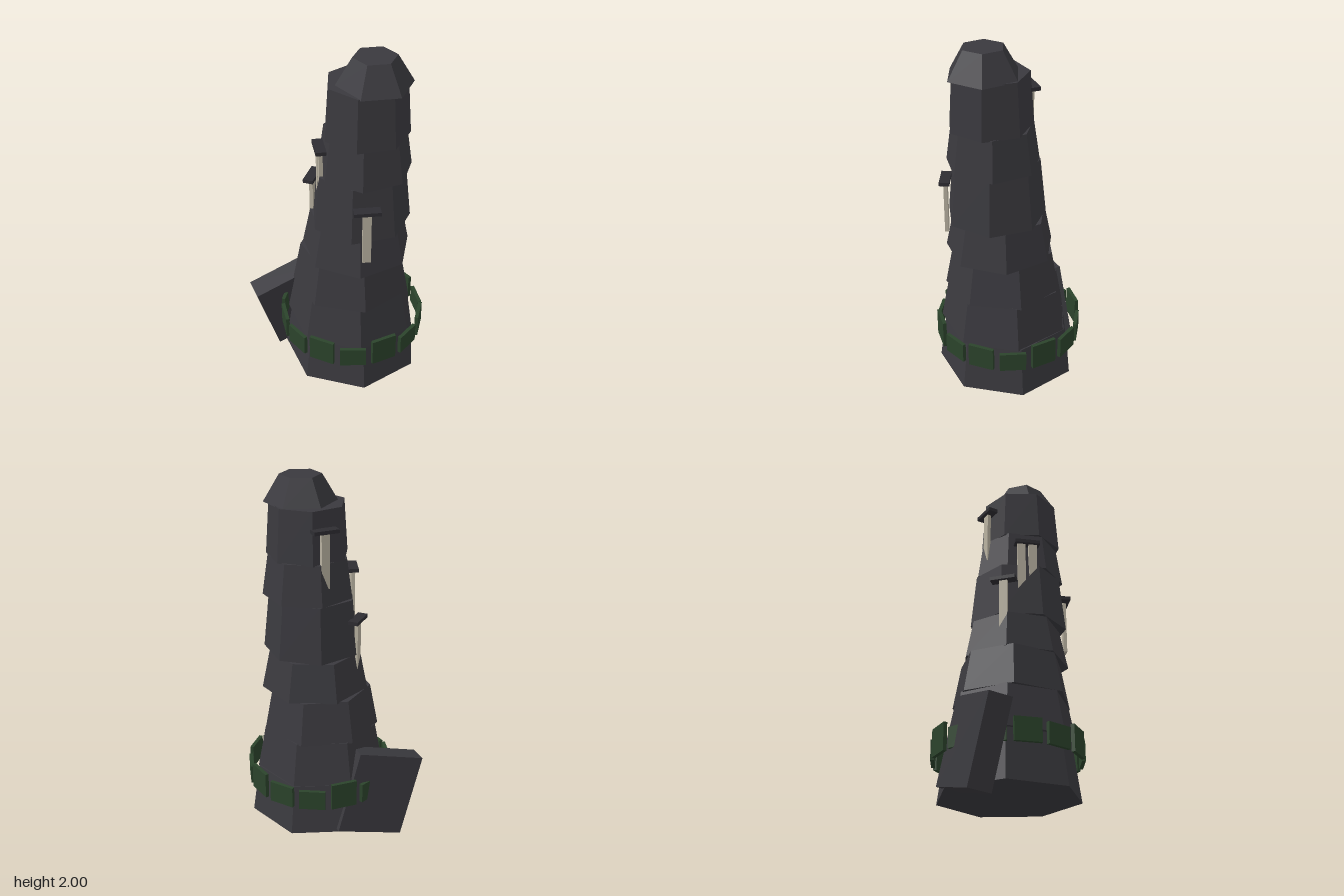
import * as THREE from 'three';

const rad = THREE.MathUtils.degToRad;

export function createModel() {
  const model = new THREE.Group();
  const paint = (name, color) => {
    const m = new THREE.MeshStandardMaterial({ color, flatShading: true });
    m.name = name;
    return m;
  };
  const stone = paint('dark stone', 0x3a393e);
  const eaveStone = paint('eave stone', 0x2e2d32);
  const moss = paint('moss green', 0x2b432b);
  const pale = paint('pale window', 0xb8b1a0);

  const add = (parent, name, geometry, material) => {
    const mesh = new THREE.Mesh(geometry, material);
    mesh.name = name;
    parent.add(mesh);
    return mesh;
  };

  // Leaning stack of tapered tiers: y0, y1, bottom radius, top radius, x, z, angle of one corner, sides
  const tiers = [
    [0.09, 0.37, 0.39, 0.35, 0.07, 0.0, 94, 7],
    [0.365, 0.61, 0.362, 0.315, 0.072, 0.015, 95, 7],
    [0.605, 0.84, 0.325, 0.28, 0.075, 0.02, 90, 7],
    [0.835, 1.05, 0.298, 0.254, 0.105, 0.015, 100, 7],
    [1.05, 1.36, 0.27, 0.238, 0.13, 0.022, 113, 7],
    [1.36, 1.58, 0.25, 0.218, 0.152, 0.015, 106, 7],
    [1.575, 1.86, 0.226, 0.206, 0.163, 0.022, 115.7, 7],
    [1.855, 2.0, 0.198, 0.112, 0.206, 0.015, 73, 6],
  ];
  const tower = new THREE.Group();
  tower.name = 'tower';
  model.add(tower);
  tiers.forEach(([y0, y1, r0, r1, x, z, corner, sides], i) => {
    const name = i === tiers.length - 1 ? 'cap' : 'tier' + (i + 1);
    const mesh = add(tower, name, new THREE.CylinderGeometry(r1, r0, y1 - y0, sides), stone);
    mesh.position.set(x, (y0 + y1) / 2, z);
    mesh.rotation.y = rad(90 - corner);
  });

  // Ring of mossy blocks round the base
  const ring = new THREE.Group();
  ring.name = 'mossRing';
  ring.position.set(0.064, 0, 0);
  model.add(ring);
  const heights = [0.11, 0.155, 0.11, 0.145, 0.115, 0.125, 0.13, 0.11, 0.15, 0.11, 0.12, 0.145, 0.105, 0.13];
  heights.forEach((h, i) => {
    const a = (i / heights.length) * Math.PI * 2;
    const block = add(ring, 'mossBlock', new THREE.BoxGeometry(0.02, h, 0.143), moss);
    block.position.set(Math.cos(a) * 0.389, 0.275 + h / 2, Math.sin(a) * 0.389);
    block.rotation.y = -a;
  });

  // Tall slit windows with small eaves: x, z of the tier, radius, facing angle, eave height, strip offsets
  const windows = [
    [0.13, 0.022, 0.265, 45, 1.25, [0]],
    [0.13, 0.022, 0.265, 160, 1.25, [0]],
    [0.152, 0.015, 0.235, 132, 1.5, [-0.032, 0.032]],
    [0.163, 0.022, 0.222, 202, 1.76, [0]],
  ];
  windows.forEach(([x, z, r, angle, y, strips]) => {
    const a = rad(angle);
    const slit = new THREE.Group();
    slit.name = 'slitWindow';
    slit.position.set(x + Math.cos(a) * r, y, z + Math.sin(a) * r);
    slit.rotation.y = -a;
    model.add(slit);
    strips.forEach((offset) => {
      add(slit, 'windowStrip', new THREE.BoxGeometry(0.02, 0.31, 0.045), pale)
        .position.set(0, -0.155, offset);
    });
    add(slit, 'eave', new THREE.BoxGeometry(0.055, 0.02, 0.14), eaveStone);
  });

  // Tilted buttress slab leaning into the base
  const across = new THREE.Vector3(0.11, -0.015, 0.06);
  const up = new THREE.Vector3(-0.025, 0.44, 0.145);
  const inward = new THREE.Vector3(0.166, 0.097, -0.334);
  const centre = new THREE.Vector3(-0.44, 0.017, 0.14)
    .addScaledVector(across, 0.5).addScaledVector(up, 0.5).addScaledVector(inward, 0.5);
  const outward = inward.clone().negate();
  const slab = new THREE.BoxGeometry(1, 1, 1)
    .applyMatrix4(new THREE.Matrix4().makeBasis(across, up, outward).setPosition(centre));
  add(model, 'buttressSlab', slab, stone);

  return model;
}
